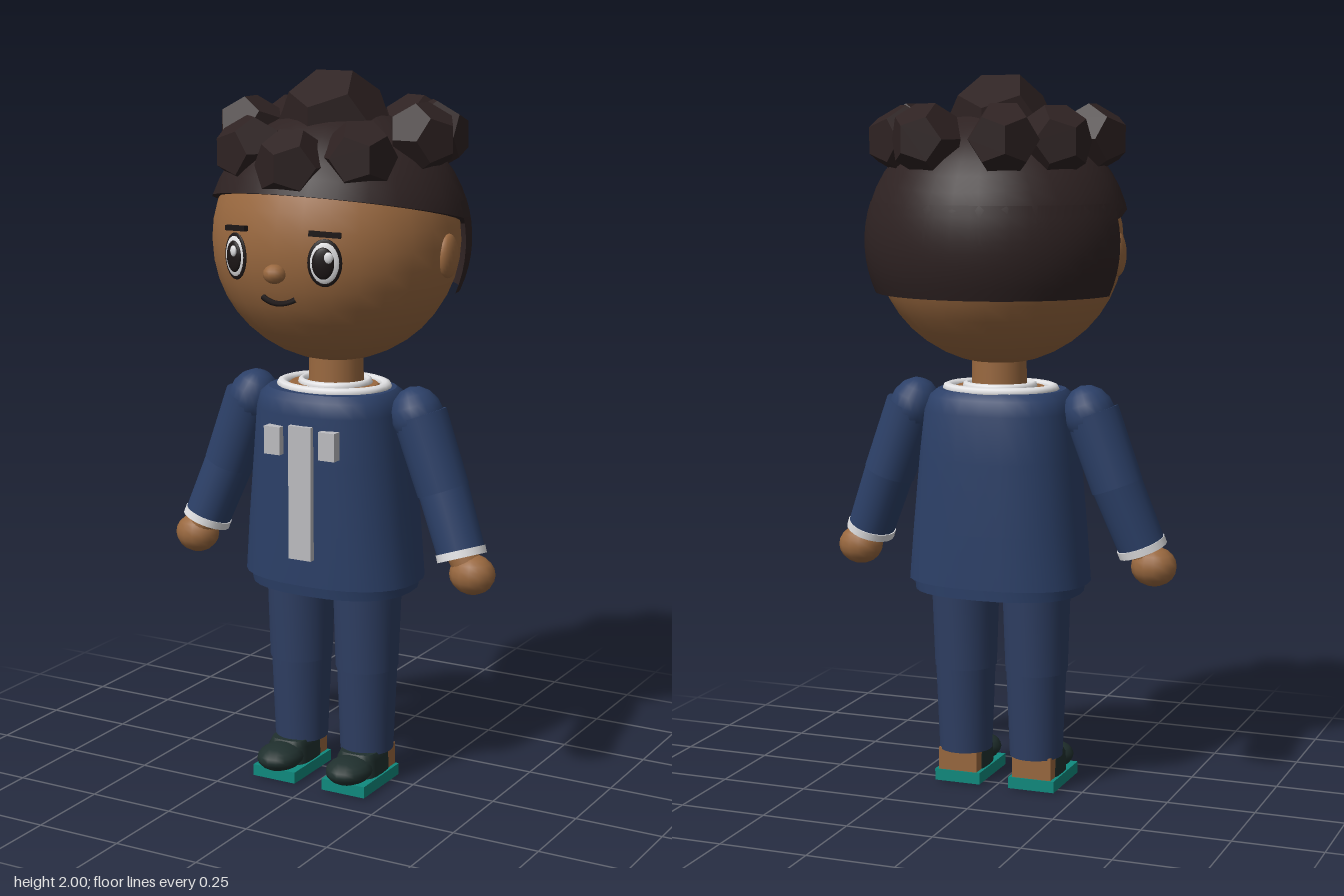
import * as THREE from 'three';

const mat = (name, color, extra = {}) => new THREE.MeshStandardMaterial({ name, color, ...extra });

// Closed, capped tube of elliptical rings; rows run bottom to top as [y, rx, rz, cx, cz]
function loft(rows, sides = 24, power = 1) {
  const pos = [], idx = [];
  const bend = v => Math.sign(v) * Math.abs(v) ** power;
  const ring = ([y, rx, rz, cx = 0, cz = 0]) => {
    for (let j = 0; j < sides; j++) {
      const a = j / sides * Math.PI * 2;
      pos.push(cx + rx * bend(Math.sin(a)), y, cz + rz * bend(Math.cos(a)));
    }
  };
  rows.forEach(ring);
  for (let i = 0; i < rows.length - 1; i++) for (let j = 0; j < sides; j++) {
    const a = i * sides + j, b = i * sides + (j + 1) % sides;
    idx.push(a, b, a + sides, b, b + sides, a + sides);
  }
  for (const [row, up] of [[rows[0], false], [rows[rows.length - 1], true]]) {
    const s = pos.length / 3;
    ring(row);
    for (let j = 1; j < sides - 1; j++) idx.push(s, up ? s + j : s + j + 1, up ? s + j + 1 : s + j);
  }
  const g = new THREE.BufferGeometry();
  g.setAttribute('position', new THREE.Float32BufferAttribute(pos, 3));
  g.setIndex(idx);
  g.computeVertexNormals();
  return g;
}

// Hair shell behind the ears: ellipsoid cut straight at a front plane and a bottom plane
function backHairGeometry(c, r, yLow, yHigh, zCut) {
  const pos = [], idx = [], rows = 8, cols = 20;
  for (let i = 0; i <= rows; i++) {
    const y = yLow + (yHigh - yLow) * i / rows;
    const k = Math.sqrt(1 - ((y - c.y) / r.y) ** 2);
    const a0 = Math.acos((zCut - c.z) / (r.z * k));
    for (let j = 0; j <= cols; j++) {
      const a = a0 + (2 * Math.PI - 2 * a0) * j / cols;
      pos.push(r.x * k * Math.sin(a), y, c.z + r.z * k * Math.cos(a));
      if (i < rows && j < cols) {
        const p = i * (cols + 1) + j, q = p + cols + 1;
        idx.push(p, p + 1, q, p + 1, q + 1, q);
      }
    }
  }
  const g = new THREE.BufferGeometry();
  g.setAttribute('position', new THREE.Float32BufferAttribute(pos, 3));
  g.setIndex(idx);
  g.computeVertexNormals();
  return g;
}

export function createModel() {
  const model = new THREE.Group();
  model.name = 'figure';
  const skin = mat('skin', 0x99683f);
  const hair = mat('hair', 0x2e2222, { side: THREE.DoubleSide });
  const curlHair = hair.clone();
  curlHair.flatShading = true;
  const shirt = mat('shirt navy', 0x2c4068);
  const trousers = mat('trouser navy', 0x2e3e62);
  const trim = mat('white trim', 0xe2e2e4);
  const panel = mat('grey panel', 0xbcbcc0);
  const teal = mat('teal sole', 0x0f8a7e);
  const shoe = mat('dark shoe', 0x20302e);
  const black = mat('face black', 0x1c1616);

  const add = (name, geo, m, x = 0, y = 0, z = 0, parent = model) => {
    const mesh = new THREE.Mesh(geo, m);
    mesh.name = name;
    mesh.position.set(x, y, z);
    parent.add(mesh);
    return mesh;
  };
  const ball = (rx, ry, rz, w = 20, h = 14) => new THREE.SphereGeometry(1, w, h).scale(rx, ry, rz);
  const box = (x, y, z) => new THREE.BoxGeometry(x, y, z);

  // Head and neck
  add('head', ball(0.345, 0.335, 0.33, 28, 20), skin, 0, 1.545, 0);
  add('neck', new THREE.CylinderGeometry(0.075, 0.078, 0.14, 20), skin, 0, 1.18, 0);
  add('nose', ball(0.031, 0.026, 0.03, 12, 8), skin, 0, 1.49, 0.332);
  const smile = new THREE.QuadraticBezierCurve3(
    new THREE.Vector3(-0.05, 1.423, 0.308), new THREE.Vector3(0, 1.395, 0.32), new THREE.Vector3(0.05, 1.423, 0.308));
  add('mouth', new THREE.TubeGeometry(smile, 12, 0.008, 6), black);
  for (const s of [-1, 1]) {
    add('ear', ball(0.022, 0.06, 0.043), skin, s * 0.342, 1.52, 0);
    const eye = new THREE.Group();
    eye.name = 'eye';
    eye.position.set(s * 0.135, 1.525, 0.303);
    eye.rotation.y = s * 0.38;
    model.add(eye);
    add('eyeRim', ball(0.046, 0.063, 0.008), black, 0, 0, 0.001, eye);
    add('eyeWhite', ball(0.042, 0.058, 0.014), trim, 0, 0, 0, eye);
    add('pupil', ball(0.03, 0.042, 0.01), black, -s * 0.003, 0, 0.009, eye);
    add('eyeGlint', ball(0.012, 0.015, 0.006, 12, 8), trim, 0.012, 0.016, 0.018, eye);
    const brow = add('eyebrow', box(0.085, 0.014, 0.014), black, 0, 0.074, -0.002, eye);
    brow.rotation.z = -s * 0.06;
  }

  // Hair: tilted cap, back shell and faceted curls
  const c = new THREE.Vector3(0, 1.55, -0.012), r = new THREE.Vector3(0.37, 0.355, 0.35);
  const theta = 1.36, tilt = -0.21;
  const shape = g => g.rotateX(tilt).scale(r.x, r.y, r.z);
  add('hairCap', shape(new THREE.SphereGeometry(1, 28, 10, 0, Math.PI * 2, 0, theta)), hair, 0, c.y, c.z);
  add('hairlineUnderside', shape(new THREE.CircleGeometry(Math.sin(theta), 28).rotateX(Math.PI / 2)
    .translate(0, Math.cos(theta), 0)), hair, 0, c.y, c.z);
  add('backHair', backHairGeometry(c, r, 1.41, 1.66, -0.055), hair);
  add('topCurl', new THREE.DodecahedronGeometry(0.156), curlHair, 0, 1.855, 0.01);
  // Curl rows: angle from the front in degrees, distance, height
  for (const [deg, d, y] of [[0, 0.24, 1.765], [44, 0.24, 1.79], [88, 0.265, 1.83], [126, 0.27, 1.825], [157, 0.28, 1.83]])
    for (const s of deg ? [-1, 1] : [1]) {
      const a = s * deg * Math.PI / 180;
      const curl = add('curl', new THREE.DodecahedronGeometry(0.1), curlHair, d * Math.sin(a), y, d * Math.cos(a));
      curl.rotation.set(0, a, 0);
    }

  // Torso, hem and collar
  add('torso', loft([
    [0.6, 0.258, 0.182, 0, 0.006], [0.75, 0.245, 0.184, 0, 0.008], [0.95, 0.226, 0.182, 0, 0.01],
    [1.08, 0.212, 0.18, 0, 0.015], [1.12, 0.2, 0.165, 0, 0.02], [1.138, 0.178, 0.145, 0, 0.022]], 28, 0.82), shirt);
  add('hem', loft([[0.57, 0.238, 0.176, 0, 0.004], [0.61, 0.243, 0.18, 0, 0.006]], 28, 0.82), shirt);
  add('hips', loft([[0.566, 0.215, 0.155], [0.6, 0.215, 0.155]]), skin);
  add('chest', loft([[1.13, 0.145, 0.12, 0, 0.01], [1.146, 0.125, 0.105, 0, 0.01]]), skin);
  const ringGeo = (rx, rz, t) => new THREE.TorusGeometry(1, t, 8, 28).rotateX(Math.PI / 2).scale(rx, 0.13, rz);
  add('collar', ringGeo(0.15, 0.125, 0.11), trim, 0, 1.14, 0.012);
  add('innerCollar', ringGeo(0.095, 0.09, 0.11), trim, 0, 1.146, 0.005);

  // Front panel with two tabs
  add('frontPanel', box(0.07, 0.375, 0.03), panel, 0, 0.868, 0.192);
  for (const s of [-1, 1]) add('chestTab', box(0.05, 0.078, 0.03), panel, s * 0.085, 1.009, 0.195);

  // Limb piece between two points; the lower end comes second
  const limb = (name, a, b, ra, rb, m) => {
    const dir = a.clone().sub(b);
    const mesh = add(name, new THREE.CylinderGeometry(ra, rb, dir.length(), 20), m);
    mesh.position.copy(a).add(b).multiplyScalar(0.5);
    mesh.quaternion.setFromUnitVectors(new THREE.Vector3(0, 1, 0), dir.normalize());
    return mesh;
  };

  for (const s of [-1, 1]) {
    // Arm
    const V = (x, y, z) => new THREE.Vector3(s * x, y, z);
    const elbow = V(0.342, 0.88, 0.015), wrist = V(0.408, 0.715, 0.033);
    const shoulder = add('shoulder', ball(0.072, 0.085, 0.077, 20, 8), shirt, s * 0.262, 1.075, 0.013);
    shoulder.rotation.z = s * 0.33;
    limb('upperArm', V(0.268, 1.08, 0.013), elbow, 0.076, 0.073, shirt);
    limb('forearm', V(0.34, 0.888, 0.014), wrist, 0.071, 0.067, shirt);
    limb('cuff', V(0.405, 0.722, 0.032), V(0.412, 0.702, 0.035), 0.07, 0.07, trim);
    limb('wrist', wrist, V(0.43, 0.68, 0.035), 0.042, 0.042, skin);
    add('hand', ball(0.065, 0.056, 0.056, 14, 10), skin, s * 0.443, 0.66, 0.035);

    // Leg
    const x = s * 0.107;
    add('thigh', loft([[0.34, 0.088, 0.092, x, 0.014], [0.6, 0.097, 0.1, x, 0.012]]), trousers);
    add('shin', loft([[0.095, 0.075, 0.078, x, 0.013], [0.342, 0.085, 0.088, x, 0.012]]), trousers);

    // Foot
    const fx = s * 0.112;
    add('sole', box(0.136, 0.033, 0.21), teal, fx, 0.0195, 0.06);
    add('solePlate', box(0.116, 0.006, 0.19), skin, fx, 0.003, 0.06);
    add('heel', box(0.115, 0.07, 0.09), skin, fx, 0.065, 0.003);
    add('shoeUpper', loft([[0.034, 0.063, 0.075, fx, 0.045], [0.085, 0.062, 0.072, fx, 0.045],
      [0.102, 0.054, 0.062, fx, 0.045]], 20, 0.6), shoe);
    add('shoeToe', ball(0.064, 0.038, 0.075, 16, 10), shoe, fx, 0.062, 0.127);
  }
  return model;
}
